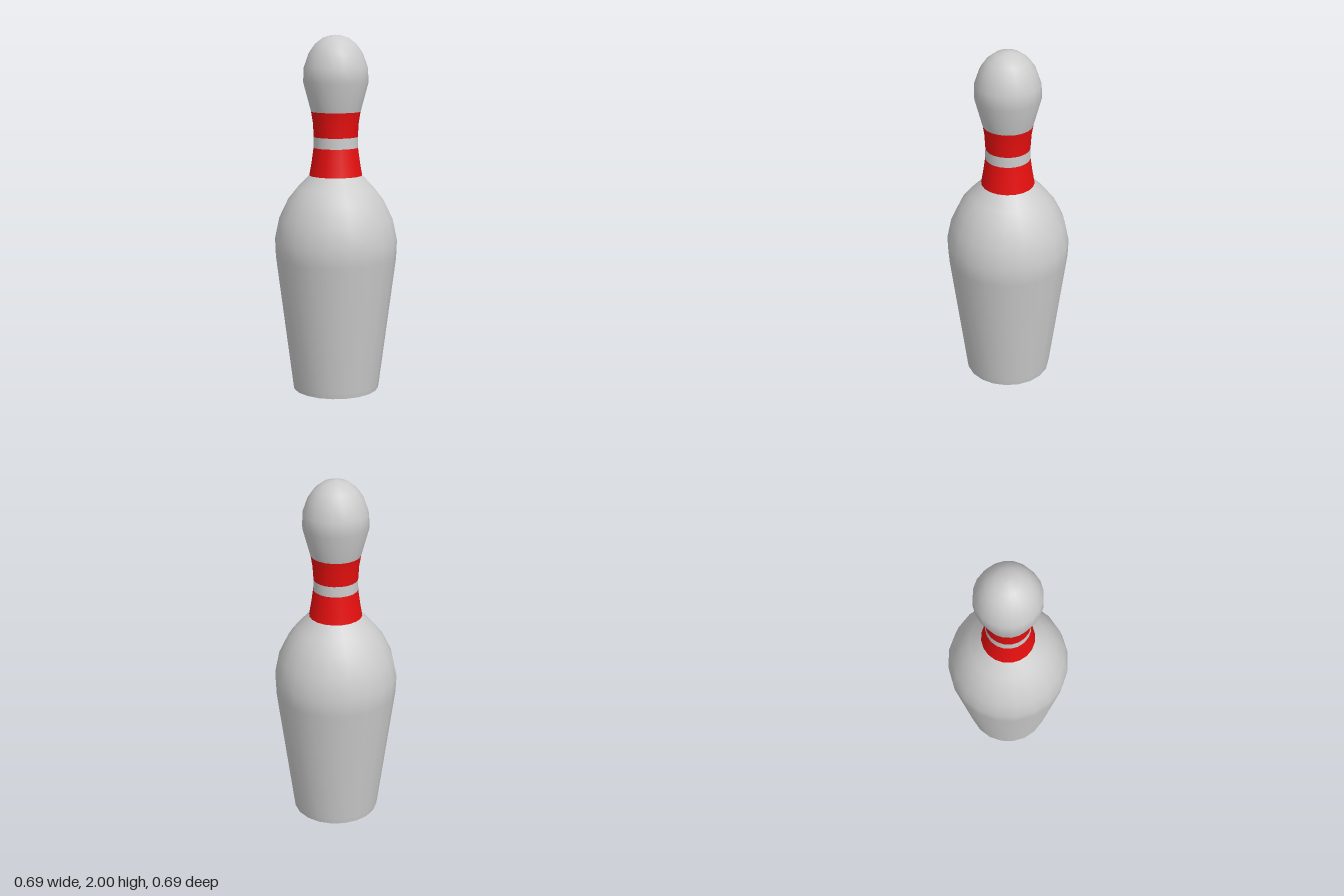
import * as THREE from 'three';

const SIDES = 20;

export function createModel() {
  const pin = new THREE.Group();
  pin.name = 'pin';

  const white = new THREE.MeshStandardMaterial({ color: 0xcccccc });
  white.name = 'pale grey';
  const red = new THREE.MeshStandardMaterial({ color: 0xf01010 });
  red.name = 'red';

  // Each part is a turned profile of [radius, height] points, bottom to top.
  const turn = (name, material, profile) => {
    const points = profile.map(([r, y]) => new THREE.Vector2(r, y));
    const mesh = new THREE.Mesh(new THREE.LatheGeometry(points, SIDES), material);
    mesh.name = name;
    pin.add(mesh);
  };

  // Slightly recessed foot
  turn('underside', white, [[0, 0.015], [0.238, 0.015]]);
  turn('footInnerWall', white, [[0.238, 0.015], [0.238, 0]]);
  turn('footEdge', white, [[0.238, 0], [0.243, 0]]);
  turn('footRim', white, [[0.243, 0], [0.247, 0.025]]);

  // Belly and shoulder
  turn('body', white, [
    [0.247, 0.025], [0.341, 0.76], [0.345, 0.86], [0.32, 0.98],
    [0.267, 1.09], [0.215, 1.155], [0.148, 1.225],
  ]);

  // Striped neck
  turn('lowerStripe', red, [[0.148, 1.225], [0.135, 1.3], [0.124, 1.38]]);
  turn('neck', white, [[0.124, 1.38], [0.123, 1.44]]);
  turn('upperStripe', red, [[0.123, 1.44], [0.128, 1.52], [0.138, 1.58]]);

  // Rounded head
  turn('head', white, [
    [0.138, 1.58], [0.181, 1.74], [0.178, 1.82], [0.15, 1.9],
    [0.115, 1.95], [0.07, 1.985], [0.025, 1.998], [0, 2],
  ]);

  return pin;
}
